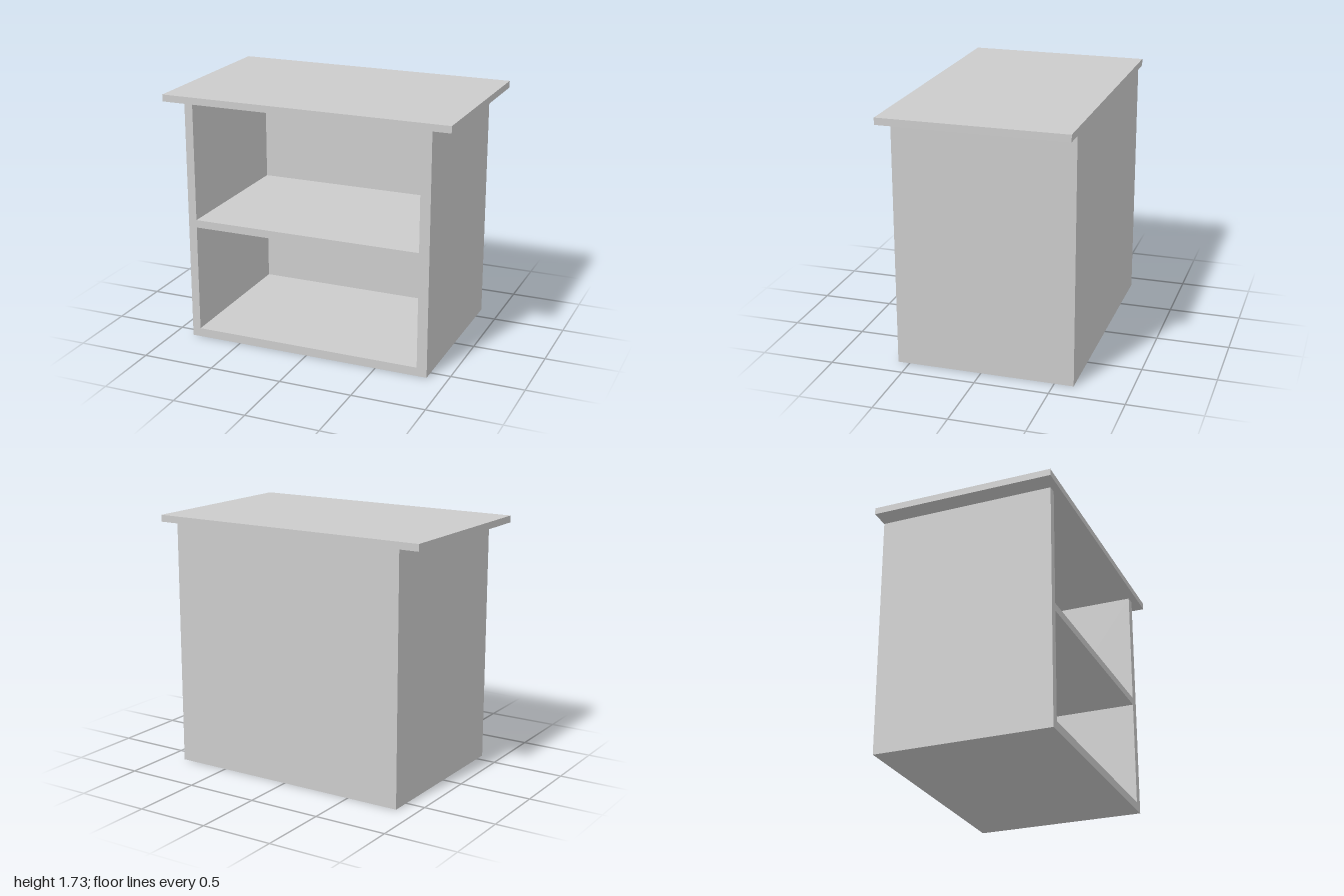
import * as THREE from 'three';

const material = new THREE.MeshStandardMaterial({ color: 0xcccccc });

// Box given by its extents along each axis
function panel(name, [x0, x1], [y0, y1], [z0, z1]) {
  const geometry = new THREE.BoxGeometry(x1 - x0, y1 - y0, z1 - z0);
  const mesh = new THREE.Mesh(geometry, material);
  mesh.name = name;
  mesh.position.set((x0 + x1) / 2, (y0 + y1) / 2, (z0 + z1) / 2);
  return mesh;
}

export function createModel() {
  const group = new THREE.Group();
  group.name = 'openCabinet';

  const inner = [-0.807, 0.791]; // clear width between the side panels
  const height = [0, 1.68];      // carcass height below the top
  const depth = [-0.63, 0.58];   // carcass depth
  const bay = [-0.512, 0.58];    // open depth in front of the back panel

  group.add(
    // Carcass
    panel('rightSide', [-0.865, inner[0]], height, depth),
    panel('leftSide', [inner[1], 0.861], height, depth),
    panel('back', inner, height, [depth[0], bay[0]]),
    panel('bottom', inner, [0, 0.06], bay),
    panel('shelf', inner, [0.807, 0.86], bay),
    // Overhanging top, flush with the back
    panel('top', [-1, 1], [1.68, 1.727], [-0.63, 0.63])
  );
  return group;
}
